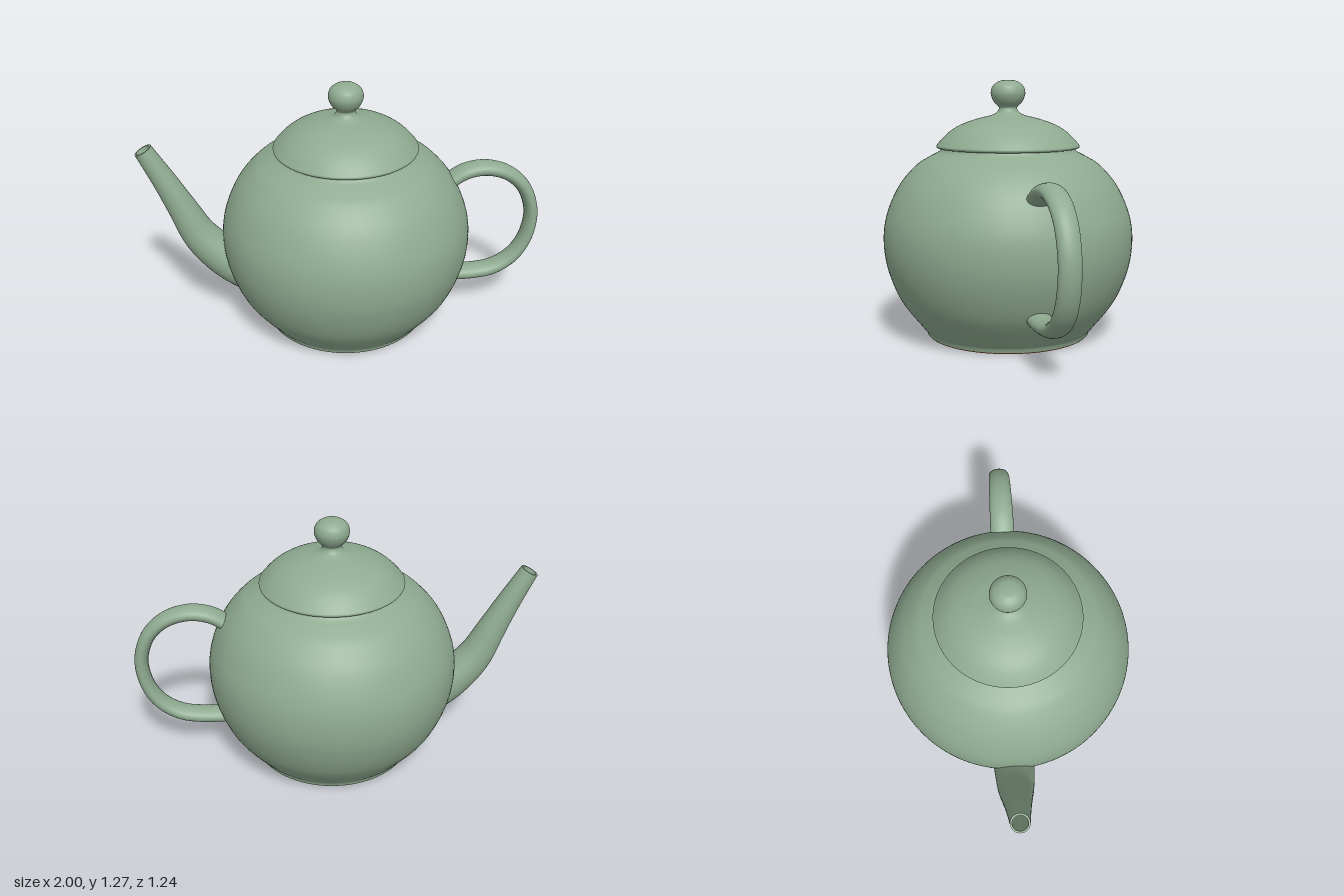
import * as THREE from 'three';

const glaze = new THREE.MeshStandardMaterial({ color: 0x8fab91 });
glaze.name = 'celadon glaze';
const clay = new THREE.MeshStandardMaterial({ color: 0xb8704c });
clay.name = 'bare clay';

const vec = (p) => new THREE.Vector2(p[0], p[1]);

// Smooth profile through a few points
const smooth = (pts, n) => new THREE.SplineCurve(pts.map(vec)).getPoints(n);

function lathe(name, points, material) {
  const mesh = new THREE.Mesh(new THREE.LatheGeometry(points, 96), material);
  mesh.name = name;
  return mesh;
}

// Sweeps elliptical rings along a path in the xy plane.
// Each section is [t, half thickness in the plane, half width in z].
function sweep(name, path, sections, sides = 40) {
  const curve = new THREE.CatmullRomCurve3(path.map(([x, y]) => new THREE.Vector3(x, y, 0)), false, 'centripetal');
  const positions = [], index = [];
  for (const [t, a, b] of sections) {
    const c = curve.getPointAt(t), d = curve.getTangentAt(t);
    for (let j = 0; j < sides; j++) {
      const q = (j / sides) * Math.PI * 2, u = a * Math.cos(q);
      positions.push(c.x - d.y * u, c.y + d.x * u, b * Math.sin(q));
    }
  }
  for (let i = 0; i < sections.length - 1; i++) {
    for (let j = 0; j < sides; j++) {
      const k = (j + 1) % sides, p = i * sides, q = p + sides;
      index.push(p + j, p + k, q + k, p + j, q + k, q + j);
    }
  }
  const geometry = new THREE.BufferGeometry();
  geometry.setAttribute('position', new THREE.Float32BufferAttribute(positions, 3));
  geometry.setIndex(index);
  geometry.computeVertexNormals();
  const mesh = new THREE.Mesh(geometry, glaze);
  mesh.name = name;
  return mesh;
}

// Interpolates a short list of values over 0..1
function along(values, t) {
  const f = t * (values.length - 1), i = Math.min(Math.floor(f), values.length - 2);
  return THREE.MathUtils.lerp(values[i], values[i + 1], f - i);
}

export function createModel() {
  const teapot = new THREE.Group();
  teapot.name = 'teapot';
  const turned = new THREE.Group();
  turned.name = 'turnedParts';
  turned.position.x = 0.007;
  teapot.add(turned);

  // Recessed underside inside the foot
  turned.add(lathe('underside', smooth([[0, 0.065], [0.2, 0.063], [0.31, 0.055], [0.345, 0.035], [0.356, 0.012]], 20), glaze));

  // Unglazed, rounded foot ring
  turned.add(lathe('footRing', smooth([[0.356, 0.012], [0.363, 0.004], [0.381, 0], [0.4, 0.003], [0.408, 0.01]], 16), clay));

  // Body up to the neck under the lid
  turned.add(lathe('body', smooth([[0.408, 0.01], [0.412, 0.022], [0.419, 0.035], [0.445, 0.065], [0.542, 0.195], [0.602, 0.347],
    [0.62, 0.488], [0.602, 0.616], [0.542, 0.752], [0.46, 0.85], [0.395, 0.893], [0.342, 0.922], [0.328, 0.945]], 72), glaze));

  // Lid with its underside, rolled rim, dome and knob
  turned.add(lathe('lid', [
    ...[[0, 0.938], [0.335, 0.938], [0.335, 0.938]].map(vec),
    ...smooth([[0.345, 0.938], [0.352, 0.942], [0.354, 0.951], [0.346, 0.962], [0.32, 0.991], [0.285, 1.022],
      [0.235, 1.052], [0.17, 1.077], [0.12, 1.09], [0.088, 1.098], [0.058, 1.112], [0.045, 1.133], [0.052, 1.147],
      [0.067, 1.161], [0.08, 1.185], [0.085, 1.212], [0.075, 1.243], [0.047, 1.265], [0.02, 1.271], [0, 1.272]], 120),
  ], glaze));

  // Hollow spout: outer wall, rim, then inner wall going back down
  const spoutPath = [[-0.47, 0.26], [-0.565, 0.32], [-0.65, 0.395], [-0.73, 0.495], [-0.8, 0.64], [-0.875, 0.795], [-0.965, 0.967]];
  const spoutSections = [];
  for (let i = 0; i <= 40; i++) {
    const r = along([0.11, 0.103, 0.093, 0.079, 0.066, 0.055, 0.045], i / 40);
    spoutSections.push([i / 40, r, r]);
  }
  spoutSections.push([1, 0.045, 0.045], [1, 0.036, 0.036], [1, 0.036, 0.036]);
  for (let i = 1; i <= 8; i++) spoutSections.push([1 - i * 0.05, 0.036, 0.036]);
  spoutSections.push([0.6, 0, 0]);
  teapot.add(sweep('spout', spoutPath, spoutSections));

  // Flattened loop handle with closed ends
  const handlePath = [[0.535, 0.742], [0.608, 0.785], [0.71, 0.801], [0.82, 0.77], [0.905, 0.697], [0.953, 0.595],
    [0.965, 0.5], [0.94, 0.375], [0.88, 0.28], [0.785, 0.218], [0.67, 0.198], [0.557, 0.198]];
  const handleSections = [[0, 0, 0], [0, 0.037, 0.061]];
  for (let i = 0; i <= 64; i++) {
    const t = i / 64;
    handleSections.push([t, along([0.037, 0.037, 0.035, 0.034, 0.035, 0.037, 0.038], t), along([0.061, 0.057, 0.053, 0.051, 0.053, 0.057, 0.061], t)]);
  }
  handleSections.push([1, 0.038, 0.061], [1, 0, 0]);
  teapot.add(sweep('handle', handlePath, handleSections));

  return teapot;
}
